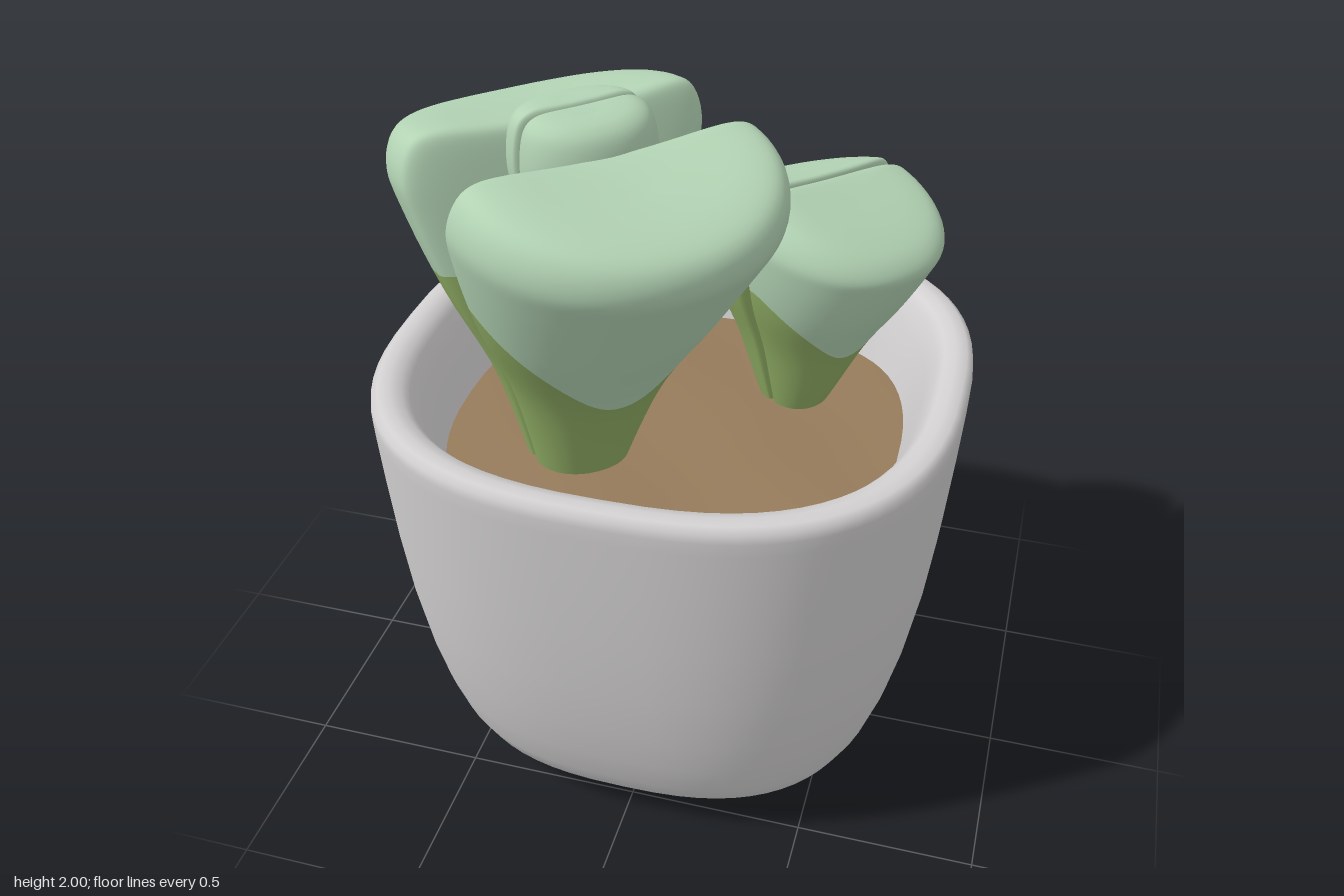
import * as THREE from 'three';

const material = (name, color) => {
  const m = new THREE.MeshStandardMaterial({ color });
  m.name = name;
  return m;
};

// Smooth surface through closed rings; point(i, angle) gives ring i of the loft
function loft(rows, segs, point) {
  const pos = [], index = [];
  for (let i = 0; i < rows; i++) {
    for (let j = 0; j < segs; j++) pos.push(...point(i, (j / segs) * Math.PI * 2));
  }
  for (let i = 0; i < rows - 1; i++) {
    for (let j = 0; j < segs; j++) {
      const k = (j + 1) % segs;
      const a = i * segs + j, b = (i + 1) * segs + j, c = i * segs + k, d = (i + 1) * segs + k;
      index.push(a, b, c, c, b, d);
    }
  }
  const g = new THREE.BufferGeometry();
  g.setAttribute('position', new THREE.Float32BufferAttribute(pos, 3));
  g.setIndex(index);
  g.computeVertexNormals();
  return g;
}

const signedPow = (x, p) => Math.sign(x) * Math.abs(x) ** p;

// Rounded-square ring point
const POWER = 2 / 2.6;
const squircle = (r, y, t) => [
  r * signedPow(Math.cos(t), POWER), y, r * 0.963 * signedPow(Math.sin(t), POWER),
];

// Leaf profile: x = width scale, y = height fraction
const leafProfile = new THREE.SplineCurve([
  [0.28, 0], [0.48, 0.31], [0.75, 0.56], [0.94, 0.77], [1, 0.87],
  [0.93, 0.955], [0.74, 0.99], [0.4, 1], [0, 1],
].map(([x, y]) => new THREE.Vector2(x, y)));

const BASE_ROWS = 10, TIP_ROWS = 30, LEAF_SEGS = 72;

// Half-round leaf: flat inner side, bulging outer side, tapering to its base
function leafGeometry(o) {
  const ux = Math.cos(o.angle) * o.side, uz = -Math.sin(o.angle) * o.side;
  const inner = o.b * 0.17;
  const g = loft(BASE_ROWS + TIP_ROWS + 1, LEAF_SEGS, (i, t) => {
    const c = Math.cos(t), s = Math.sin(t);
    // the colour border runs high on the inner side and low on the outer side
    const split = 0.29 - 0.16 * Math.max(0, s) ** 1.5;
    const p = i <= BASE_ROWS
      ? (split * i) / BASE_ROWS
      : split + ((1 - split) * (i - BASE_ROWS)) / TIP_ROWS;
    const q = leafProfile.getPoint(Math.min(p, 1));
    const h = q.y, k = Math.max(0, q.x) + o.thick * 4 * Math.max(0, h * (1 - h));
    const fu = k * signedPow(c, s > 0 ? 0.92 : 0.6);
    const fv = inner + (s > 0 ? (o.b - inner) * s : inner * signedPow(s, 0.4));
    // the top closes at a point inside the section
    const close = p > 0.5 ? (1 - k) ** 2 * o.b * 0.4 : 0;
    const v = k * fv + close;
    const u = fu * o.a * o.side + o.lean * (1 - h);
    const y = o.y0 + (o.y1 - o.y0) * h
      + h ** 3 * (o.rise * fu * fu - o.tilt * (v / o.b) - o.slope * u);
    const w = v + o.gap * h * h + 0.003;
    return [o.x + ux * u * o.side - uz * w, y, o.z + uz * u * o.side + ux * w];
  });
  const border = BASE_ROWS * LEAF_SEGS * 6;
  g.addGroup(0, border, 0);
  g.addGroup(border, g.index.count - border, 1);
  return g;
}

export function createModel() {
  const model = new THREE.Group();
  model.name = 'pottedSucculent';
  const ceramic = material('ceramicGrey', 0xd2d0d0);
  const earth = material('soilBrown', 0x967b5b);
  const leafGreen = material('leafGreen', 0xb3d3b4);
  const leafOlive = material('leafBaseOlive', 0x8fac64);

  const add = (name, geometry, mat, parent = model) => {
    const mesh = new THREE.Mesh(geometry, mat);
    mesh.name = name;
    parent.add(mesh);
  };

  // Pot: outer wall, rounded rim and inner wall in one profile
  const potProfile = [
    [0, 0], [0.25, 0.001], [0.4, 0.012], [0.5, 0.035], [0.57, 0.075], [0.62, 0.13],
    [0.655, 0.2], [0.69, 0.31], [0.722, 0.45], [0.75, 0.62], [0.772, 0.82],
    [0.788, 1.02], [0.798, 1.17], [0.8, 1.21], [0.797, 1.235], [0.78, 1.25],
    [0.75, 1.252], [0.72, 1.243], [0.7, 1.22], [0.675, 1.16], [0.645, 1.06], [0.615, 0.94],
  ];
  add('pot', loft(potProfile.length, 72, (i, t) => squircle(...potProfile[i], t)), ceramic);

  // Soil: gently uneven disc inside the pot
  add('soil', loft(13, 72, (i, t) => {
    const p = squircle(0.632 * (1 - i / 12), 0, t);
    p[1] = 0.995 + 0.008 * Math.sin(p[0] * 9) * Math.cos(p[2] * 8);
    return p;
  }), earth);

  // Leaf pairs, each pair facing itself across a slit
  const pairs = [
    { name: 'largeLeaf', x: -0.205, z: 0.125, angle: 0.785, a: 0.425, b: 0.465, gap: 0.127,
      y0: 0.95, y1: 1.925, rise: 0.055, tilt: 0.075, slope: 0, lean: -0.06, thick: 0.02 },
    { name: 'smallLeaf', x: 0.327, z: -0.325, angle: 0.95, a: 0.29, b: 0.325, gap: 0.004,
      y0: 0.98, y1: 1.67, rise: 0.015, tilt: 0.11, slope: 0.1, lean: -0.08, thick: 0.1 },
    { name: 'budLeaf', x: -0.213, z: 0.118, angle: 0.81, a: 0.185, b: 0.165, gap: 0,
      y0: 0.95, y1: 2.0, rise: 0.01, tilt: 0.015, slope: 0, lean: 0, thick: 0 },
  ];
  for (const pair of pairs) {
    const group = new THREE.Group();
    group.name = pair.name + 'Pair';
    for (const side of [1, -1]) {
      add(pair.name + (side > 0 ? 'Front' : 'Back'),
        leafGeometry({ ...pair, side }), [leafOlive, leafGreen], group);
    }
    model.add(group);
  }
  return model;
}
